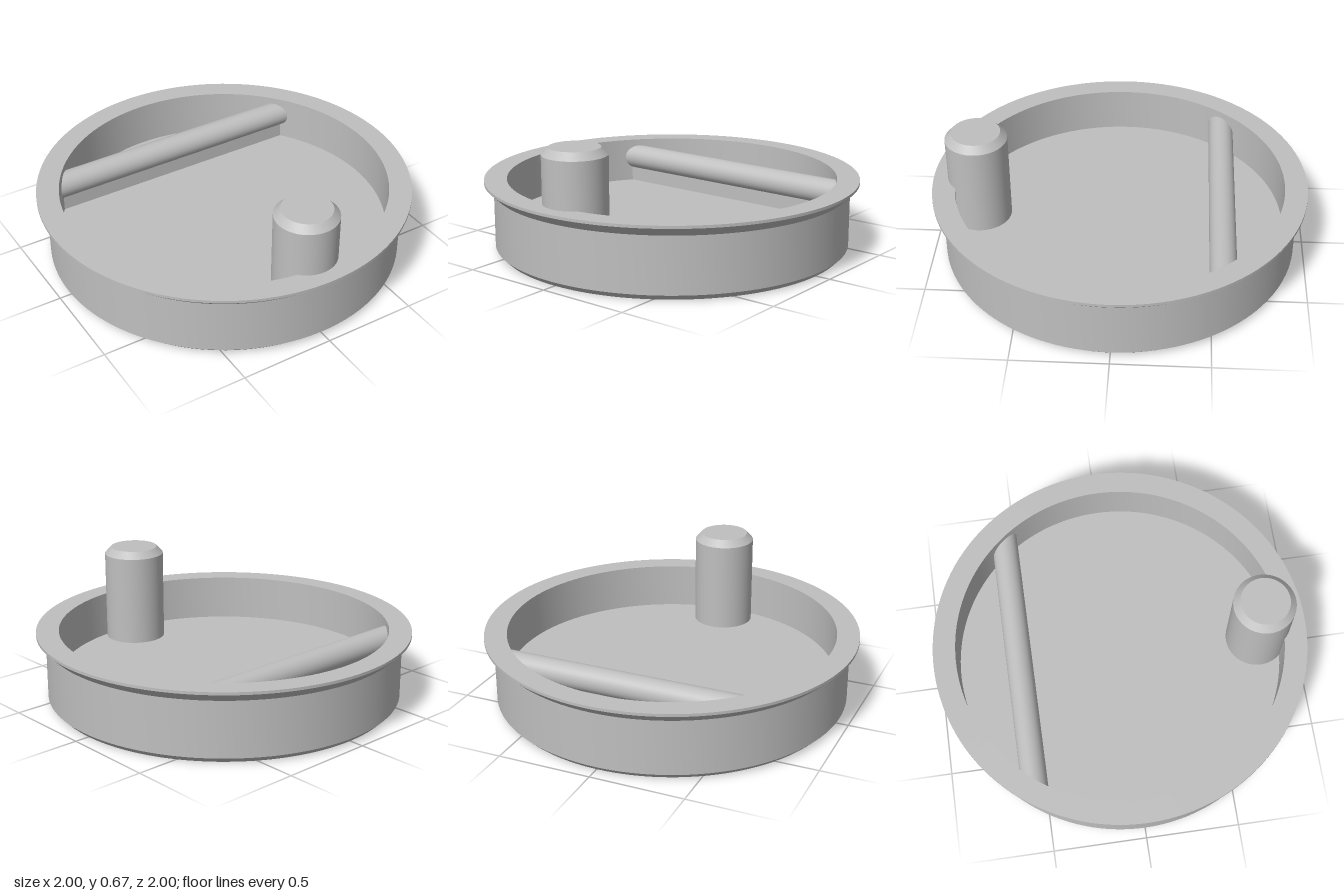
import * as THREE from 'three';
import { toCreasedNormals } from 'three/addons/utils/BufferGeometryUtils.js';

const INNER = 0.88, FLOOR = 0.14, TOP = 0.387;

export function createModel() {
  const group = new THREE.Group();
  const grey = new THREE.MeshStandardMaterial({ color: 0xbfbfbf });
  grey.name = 'plain grey';

  const add = (name, geometry) => {
    const mesh = new THREE.Mesh(toCreasedNormals(geometry, 0.5), grey);
    mesh.name = name;
    group.add(mesh);
    return mesh;
  };
  const lathe = (points, segments) =>
    new THREE.LatheGeometry(points.map(([r, y]) => new THREE.Vector2(r, y)), segments);

  // Fits the ends of a crossbar piece to the round inner wall
  const fitToWall = (geometry) => {
    const p = geometry.attributes.position;
    for (let i = 0; i < p.count; i++) {
      const z = p.getZ(i);
      p.setX(i, Math.sign(p.getX(i)) * Math.sqrt((INNER + 0.01) ** 2 - z * z));
    }
    return geometry;
  };

  // Shallow dish with a chamfered foot and a flared rim
  add('dish', lathe([
    [0, 0], [0.92, 0], [0.95, 0.03], [0.95, 0.325], [1, 0.372], [1, TOP],
    [INNER, TOP], [INNER, FLOOR], [0, FLOOR],
  ], 128));

  // Upright peg at the front, chamfered on top
  add('peg', lathe([
    [0, 0.1], [0.165, 0.1], [0.165, 0.632], [0.13, 0.67], [0, 0.67],
  ], 64)).position.z = 0.76;

  // Round crossbar near the back
  const bar = new THREE.CylinderGeometry(0.07, 0.07, 1.4, 40);
  bar.rotateZ(Math.PI / 2).translate(0, 0.28, -0.55);
  add('crossbar', fitToWall(bar));

  // Thin web carrying the crossbar
  const web = new THREE.BoxGeometry(1.4, 0.16, 0.07);
  web.translate(0, 0.2, -0.55);
  add('crossbarWeb', fitToWall(web));

  return group;
}
